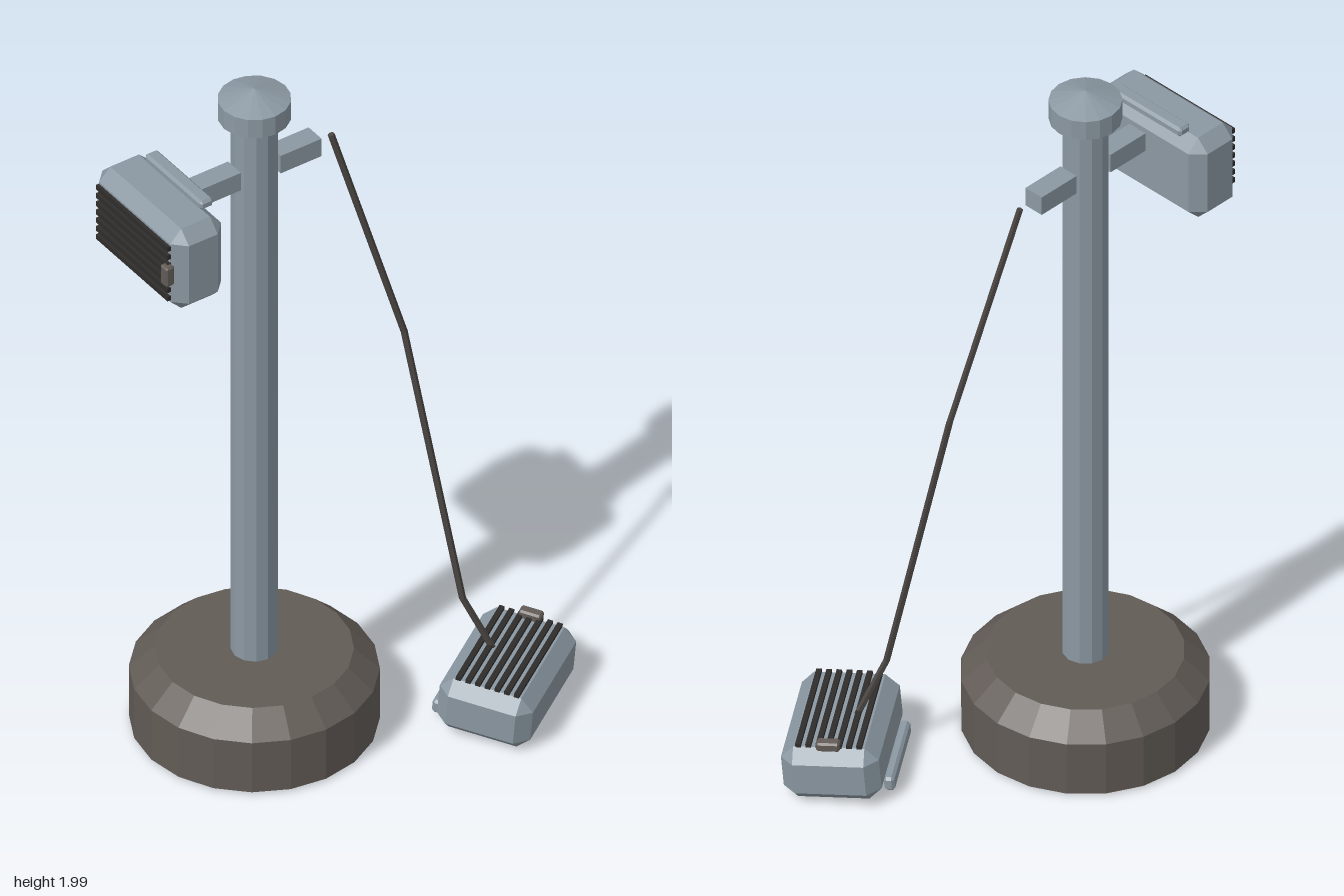
import * as THREE from 'three';
import { ConvexGeometry } from 'three/addons/geometries/ConvexGeometry.js';

function material(name, color) {
  const m = new THREE.MeshStandardMaterial({ color, flatShading: true });
  m.name = name;
  return m;
}

// Box with every edge cut at 45 degrees
function chamferBox(w, h, d, c) {
  const half = [w / 2, h / 2, d / 2];
  const points = [];
  for (const sx of [-1, 1]) for (const sy of [-1, 1]) for (const sz of [-1, 1]) {
    for (let axis = 0; axis < 3; axis++) {
      const [x, y, z] = half.map((v, i) => (i === axis ? v : v - c));
      points.push(new THREE.Vector3(sx * x, sy * y, sz * z));
    }
  }
  return new ConvexGeometry(points);
}

export function createModel() {
  const steel = material('blueGreySteel', 0x8b98a2);
  const iron = material('brownIron', 0x625b56);
  const dark = material('darkGrille', 0x2f2d2b);
  const rubber = material('cableRubber', 0x4a4541);

  const model = new THREE.Group();
  model.name = 'speakerPost';

  function add(parent, name, geometry, mat, x = 0, y = 0, z = 0) {
    const mesh = new THREE.Mesh(geometry, mat);
    mesh.name = name;
    mesh.position.set(x, y, z);
    parent.add(mesh);
    return mesh;
  }

  // Lathe from [radius, height] pairs
  const turned = (pairs, sides) =>
    new THREE.LatheGeometry(pairs.map(([r, y]) => new THREE.Vector2(r, y)), sides);

  // Post: base, pole, cap and two bracket arms
  const post = new THREE.Group();
  post.name = 'post';
  post.position.set(-0.19, 0, -0.1);
  model.add(post);
  add(post, 'base', turned([[0, 0.015], [0.315, 0.015], [0.315, 0.17], [0.25, 0.232], [0, 0.232]], 20), iron);
  add(post, 'pole', new THREE.CylinderGeometry(0.06, 0.06, 1.72, 12), steel, 0, 1.07);
  add(post, 'cap', turned([[0, 1.913], [0.093, 1.913], [0.093, 1.97], [0, 2]], 16), steel);
  for (const side of [-1, 1]) {
    add(post, side < 0 ? 'rightArm' : 'leftArm', new THREE.BoxGeometry(0.125, 0.055, 0.057), steel, side * 0.123, 1.75);
  }

  // Speaker: chamfered case, grille on its -x face, top handle and knob
  function speaker(name) {
    const g = new THREE.Group();
    g.name = name;
    add(g, 'case', chamferBox(0.156, 0.25, 0.38, 0.034), steel);
    for (let i = -3; i <= 3; i++) {
      add(g, 'grilleSlat', new THREE.BoxGeometry(0.016, 0.014, 0.315), dark, -0.079, i * 0.026, 0);
    }
    add(g, 'handle', chamferBox(0.04, 0.027, 0.25, 0.007), steel, 0.0575, 0.137, 0);
    add(g, 'knob', chamferBox(0.026, 0.06, 0.03, 0.005), iron, -0.087, 0, 0.157);
    model.add(g);
    return g;
  }

  speaker('hangingSpeaker').position.set(-0.478, 1.675, -0.1);

  // Fallen speaker lies on its back, grille upward and slightly tilted
  const fallen = speaker('fallenSpeaker');
  const along = new THREE.Vector3(0.82, 0, -0.57).normalize();
  const up = new THREE.Vector3(-0.57, 0.085, -0.82).normalize();
  const back = new THREE.Vector3().crossVectors(up, along);
  fallen.quaternion.setFromRotationMatrix(new THREE.Matrix4().makeBasis(back, up, along));
  fallen.position.set(0.362, 0.094, 0.214);

  // Cable in straight kinked lengths
  const path = [
    [0.045, 1.75, -0.1], [0.205, 1.115, -0.01], [0.282, 0.33, 0.135], [0.345, 0.17, 0.177],
  ].map((p) => new THREE.Vector3(...p));
  for (let i = 0; i < path.length - 1; i++) {
    const dir = path[i + 1].clone().sub(path[i]);
    const mid = path[i].clone().add(path[i + 1]).multiplyScalar(0.5);
    const piece = add(model, 'cable', new THREE.CylinderGeometry(0.009, 0.009, dir.length() + 0.004, 6), rubber, mid.x, mid.y, mid.z);
    piece.quaternion.setFromUnitVectors(new THREE.Vector3(0, 1, 0), dir.normalize());
  }

  return model;
}
